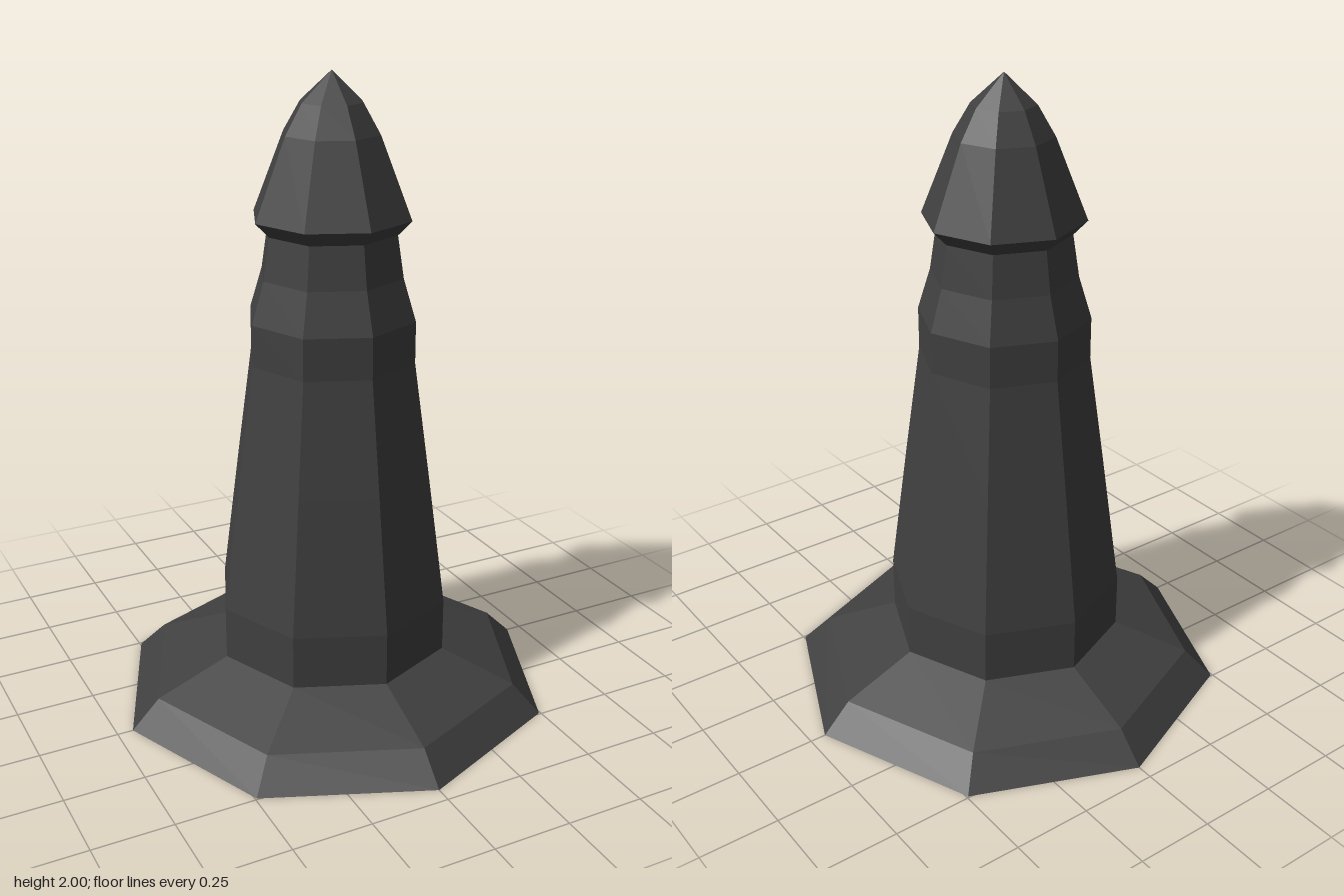
import * as THREE from 'three';

const SIDES = 8;

// Faceted ring section from [radius, height] points, listed bottom to top
function section(name, points, material) {
  const profile = points.map(([r, y]) => new THREE.Vector2(r, y));
  const geometry = new THREE.LatheGeometry(profile, SIDES).toNonIndexed();
  geometry.computeVertexNormals();
  const mesh = new THREE.Mesh(geometry, material);
  mesh.name = name;
  return mesh;
}

export function createModel() {
  const group = new THREE.Group();
  group.name = 'octagonalPillar';
  const darkGrey = new THREE.MeshStandardMaterial({ color: 0x404040 });
  darkGrey.name = 'dark grey';

  group.add(
    // Flared foot with a closed underside
    section('base', [[0, 0], [0.7, 0], [0.61, 0.09], [0.375, 0.18]], darkGrey),
    // Tapering column
    section('shaft', [[0.375, 0.18], [0.375, 0.35], [0.316, 0.78], [0.265, 1.14]], darkGrey),
    // Upright band narrowing to the neck
    section('neck', [[0.265, 1.14], [0.265, 1.27], [0.225, 1.4], [0.205, 1.53]], darkGrey),
    // Overhanging pointed cap
    section('cap', [[0.205, 1.53], [0.248, 1.575], [0.15, 1.82], [0.097, 1.91], [0, 2]], darkGrey),
  );
  return group;
}
